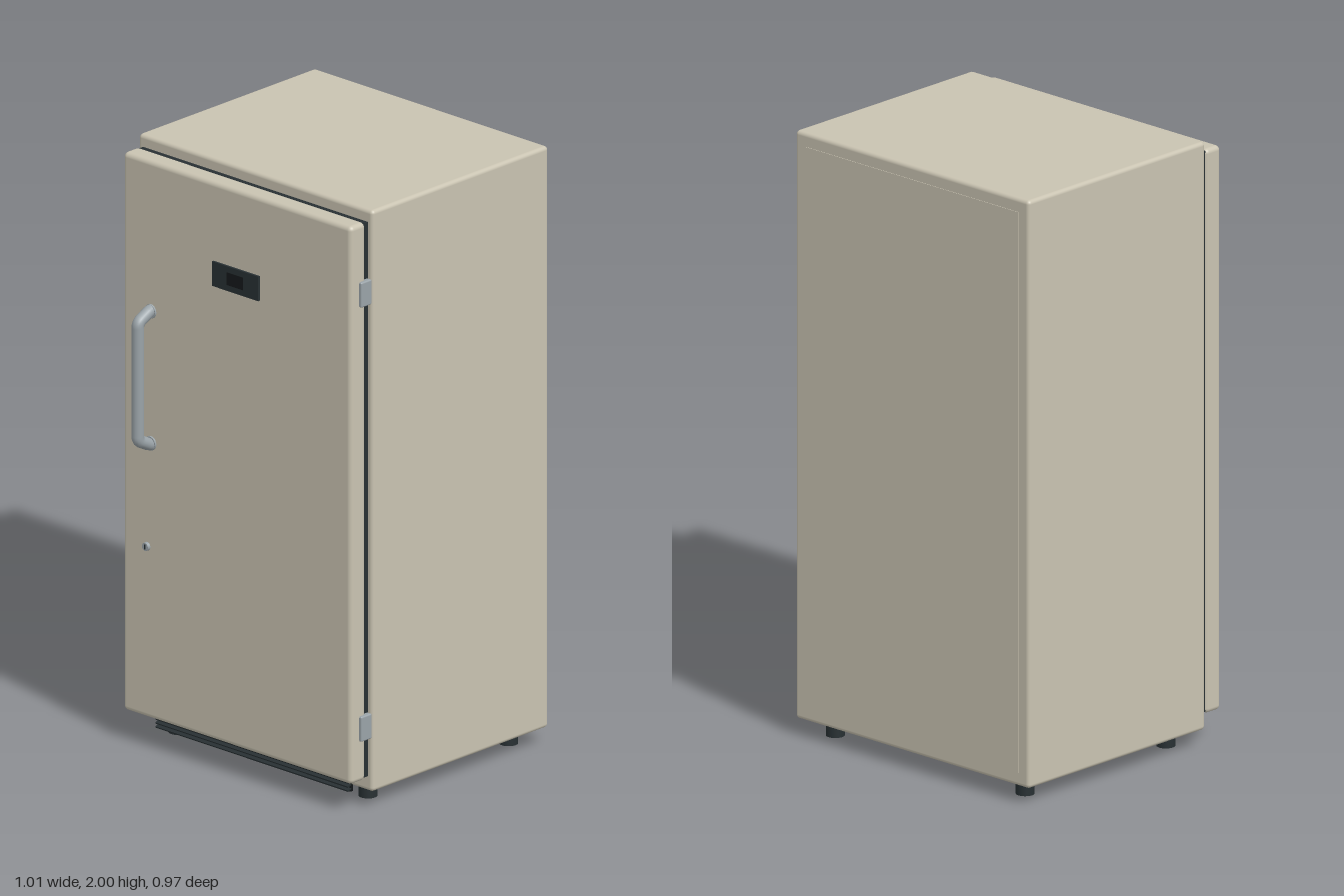
import * as THREE from 'three';
import { RoundedBoxGeometry } from 'three/addons/geometries/RoundedBoxGeometry.js';

const mat = (color) => new THREE.MeshStandardMaterial({ color });

export function createModel() {
  const group = new THREE.Group();
  const cream = mat(0xc9c3b1), dark = mat(0x283033), metal = mat(0x9aa3a8), black = mat(0x14181a);

  const add = (name, geometry, material, x, y, z) => {
    const mesh = new THREE.Mesh(geometry, material);
    mesh.name = name;
    mesh.position.set(x, y, z);
    group.add(mesh);
    return mesh;
  };
  // box given by its limits, rounded when r > 0
  const box = (name, material, [x0, x1], [y0, y1], [z0, z1], r = 0) => {
    const s = [x1 - x0, y1 - y0, z1 - z0];
    const g = r ? new RoundedBoxGeometry(...s, 4, r) : new THREE.BoxGeometry(...s);
    return add(name, g, material, (x0 + x1) / 2, (y0 + y1) / 2, (z0 + z1) / 2);
  };

  // cabinet, rear panel, door and its seal
  box('cabinet', cream, [-0.505, 0.505], [0.055, 2], [-0.483, 0.32], 0.013);
  box('backPanel', cream, [-0.46, 0.46], [0.1, 1.955], [-0.485, -0.47]);
  box('doorSeal', dark, [-0.485, 0.485], [0.105, 1.96], [0.315, 0.34]);
  box('door', cream, [-0.492, 0.492], [0.098, 1.965], [0.336, 0.405], 0.016);

  // display with recessed-looking window
  box('displayFrame', dark, [-0.1, 0.1], [1.62, 1.702], [0.4, 0.413]);
  box('displayWindow', black, [-0.035, 0.035], [1.64, 1.682], [0.41, 0.414]);

  // handle: a bent bar with a round mount at each end
  const path = new THREE.CurvePath();
  const p = [[1.468, 0.4], [1.463, 0.418], [1.447, 0.45], [1.425, 0.465], [1.06, 0.465],
    [1.038, 0.45], [1.022, 0.418], [1.017, 0.4]].map(([y, z]) => new THREE.Vector3(-0.37, y, z));
  path.add(new THREE.LineCurve3(p[0], p[1]));
  path.add(new THREE.LineCurve3(p[1], p[2]));
  path.add(new THREE.QuadraticBezierCurve3(p[2], new THREE.Vector3(-0.37, 1.44, 0.465), p[3]));
  path.add(new THREE.LineCurve3(p[3], p[4]));
  path.add(new THREE.QuadraticBezierCurve3(p[4], new THREE.Vector3(-0.37, 1.045, 0.465), p[5]));
  path.add(new THREE.LineCurve3(p[5], p[6]));
  path.add(new THREE.LineCurve3(p[6], p[7]));
  add('handle', new THREE.TubeGeometry(path, 120, 0.02, 16), metal, 0, 0, 0);
  for (const y of [1.463, 1.022])
    add('handleMount', new THREE.CylinderGeometry(0.023, 0.023, 0.012, 24), metal, -0.37, y, 0.405).rotation.x = Math.PI / 2;

  // lock
  add('lock', new THREE.CylinderGeometry(0.013, 0.015, 0.014, 24), metal, -0.387, 0.672, 0.408).rotation.x = Math.PI / 2;
  box('keySlot', dark, [-0.389, -0.385], [0.664, 0.68], [0.41, 0.416]);

  // hinges on the side
  for (const y of [0.277, 1.73])
    box('hinge', metal, [0.47, 0.502], [y - 0.042, y + 0.042], [0.319, 0.367], 0.005);

  // vent grille under the door
  box('grilleBack', black, [-0.415, 0.415], [0.036, 0.104], [0.314, 0.325]);
  for (let i = 0; i < 5; i++) {
    const slat = add('grilleSlat', new THREE.BoxGeometry(0.83, 0.005, 0.016), dark, 0, 0.044 + i * 0.0135, 0.33);
    slat.rotation.x = 0.4;
  }

  // feet
  for (const x of [-0.41, 0.41])
    for (const z of [-0.4, 0.24]) {
      add('foot', new THREE.CylinderGeometry(0.03, 0.03, 0.045, 24), dark, x, 0.0225, z);
      add('footStem', new THREE.CylinderGeometry(0.022, 0.022, 0.02, 24), dark, x, 0.052, z);
    }
  return group;
}
